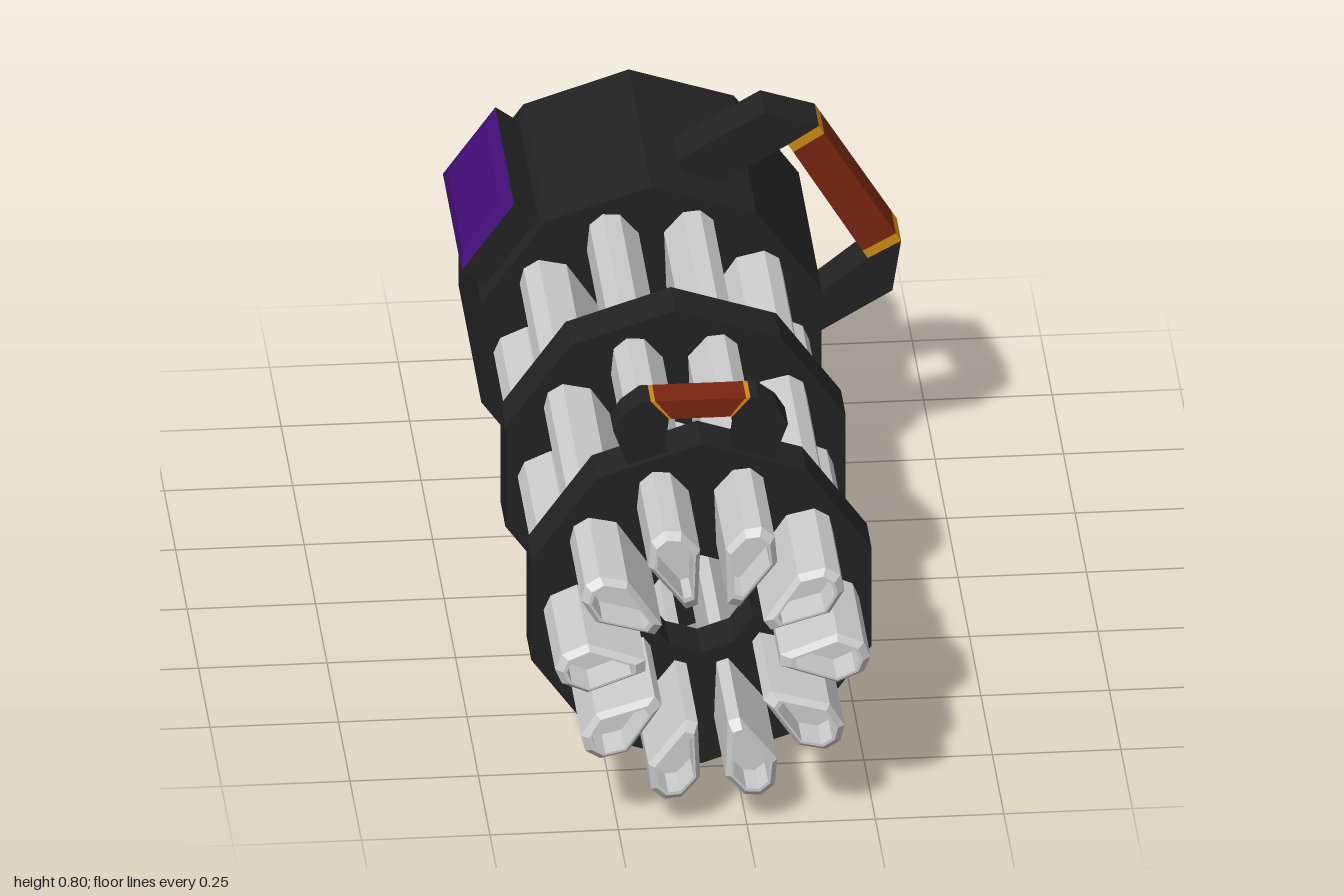
import * as THREE from 'three';

const CX = -0.065, CY = 0.348; // axis of the barrel cluster

// Flat-faced solid through matching counter-clockwise outlines, listed back to front.
function loft(sections) {
  const pos = [];
  const tri = (a, b, c) => pos.push(...a, ...b, ...c);
  const fan = (s, flip) => {
    for (let i = 1; i < s.length - 1; i++) flip ? tri(s[0], s[i + 1], s[i]) : tri(s[0], s[i], s[i + 1]);
  };
  for (let k = 0; k < sections.length - 1; k++) {
    const a = sections[k], b = sections[k + 1];
    for (let i = 0; i < a.length; i++) {
      const j = (i + 1) % a.length;
      tri(a[i], a[j], b[j]);
      tri(a[i], b[j], b[i]);
    }
  }
  fan(sections[0], true);
  fan(sections[sections.length - 1], false);
  const g = new THREE.BufferGeometry();
  g.setAttribute('position', new THREE.Float32BufferAttribute(pos, 3));
  g.computeVertexNormals();
  return g;
}

// Decagon with a corner pointing up
const decagon = (r) => Array.from({ length: 10 }, (_, i) => {
  const a = Math.PI / 2 + i * Math.PI / 5;
  return [r * Math.cos(a), r * Math.sin(a)];
});
const toShape = (pts) => new THREE.Shape(pts.map(([x, y]) => new THREE.Vector2(x, y)));

function plate(shape, z0, z1) {
  const g = new THREE.ExtrudeGeometry(shape, { depth: z1 - z0, bevelEnabled: false });
  return g.translate(0, 0, z0);
}

export function createModel() {
  const mat = (name, color) => {
    const m = new THREE.MeshStandardMaterial({ color });
    m.name = name;
    return m;
  };
  const black = mat('black metal', 0x222222);
  const steel = mat('light steel', 0xcccccc);
  const brown = mat('brown grip', 0x7a2610);
  const gold = mat('gold trim', 0xd08c12);
  const purple = mat('purple panel', 0x420e78);

  const model = new THREE.Group();
  const add = (parent, name, geometry, material) => {
    const m = new THREE.Mesh(geometry, material);
    m.name = name;
    parent.add(m);
    return m;
  };

  const gun = new THREE.Group();
  gun.name = 'barrelCluster';
  gun.position.set(CX, CY, 0);
  model.add(gun);

  // Housing with a domed back
  const ring = (r, z) => decagon(r).map(([x, y]) => [x, y, z]);
  add(gun, 'housing', loft([
    ring(0.005, -1), ring(0.168, -0.97), ring(0.348, -0.85), ring(0.348, -0.355),
  ]), black);

  // Two clamp rings with an open centre
  for (const [name, z0, z1] of [['middleRing', 0.07, 0.17], ['frontRing', 0.635, 0.735]]) {
    const s = toShape(decagon(0.348));
    s.holes.push(new THREE.Path(decagon(0.106).map(([x, y]) => new THREE.Vector2(x, y))));
    add(gun, name, plate(s, z0, z1), black);
  }

  // Ten teardrop barrels with chamfered, hollow ends
  const profile = [[0.131, -0.012], [0.243, -0.053], [0.294, -0.031], [0.307, 0],
    [0.294, 0.031], [0.243, 0.053], [0.131, 0.012]];
  const section = (k, z) => profile.map(([x, y]) => [0.232 + (x - 0.232) * k, y * k, z]);
  const barrel = loft([section(1, -0.38), section(1, 0.985), section(0.8, 1),
    section(0.71, 1), section(0.71, 0.92)]);
  for (let i = 0; i < 10; i++) {
    add(gun, 'barrel' + (i + 1), barrel, steel).rotation.z = i * Math.PI / 5;
  }

  // Side box with a raised panel, on the upper right facet
  const sideBox = new THREE.Group();
  sideBox.name = 'sideBox';
  sideBox.rotation.z = 144 * Math.PI / 180;
  gun.add(sideBox);
  add(sideBox, 'boxBase', new THREE.BoxGeometry(0.1, 0.174, 0.41).translate(0.338, 0, -0.605), black);
  const rect = (x, hy, hz) => [[x, -hy, -0.605 - hz], [x, hy, -0.605 - hz],
    [x, hy, -0.605 + hz], [x, -hy, -0.605 + hz]];
  add(sideBox, 'boxPanel', loft([rect(0.388, 0.086, 0.204), rect(0.399, 0.062, 0.165)]), purple);

  // Grip split along its length: gold bands at both ends, brown between
  function grip(parent, a0, a1, b0, b1, t, z0, z1) {
    const mix = (p, q, k) => [p[0] + (q[0] - p[0]) * k, p[1] + (q[1] - p[1]) * k];
    const part = (k0, k1) => plate(toShape(
      [mix(a0, b0, k0), mix(a1, b1, k0), mix(a1, b1, k1), mix(a0, b0, k1)]), z0, z1);
    add(parent, 'gripBandStart', part(0, t), gold);
    add(parent, 'grip', part(t, 1 - t), brown);
    add(parent, 'gripBandEnd', part(1 - t, 1), gold);
  }

  // Small carry handle on the front ring
  const top = new THREE.Group();
  top.name = 'frontHandle';
  model.add(top);
  const post = [[-0.162, 0.786], [-0.178, 0.786], [-0.215, 0.758], [-0.235, 0.725], [-0.208, 0.651],
    [-0.2, 0.62], [-0.125, 0.65], [-0.132, 0.7], [-0.127, 0.746]];
  add(top, 'handlePostRight', plate(toShape(post), 0.65, 0.72), black);
  add(top, 'handlePostLeft', plate(toShape(post.map(([x, y]) => [2 * CX - x, y])), 0.65, 0.72), black);
  grip(top, [-0.162, 0.786], [-0.127, 0.746], [0.032, 0.786], [-0.003, 0.746], 0.045, 0.65, 0.72);

  // Large side handle on the housing
  const side = new THREE.Group();
  side.name = 'sideHandle';
  model.add(side);
  add(side, 'upperArm', plate(toShape([[-0.005, 0.698], [0.164, 0.795], [0.27, 0.761],
    [0.21, 0.723], [0.085, 0.651], [0.03, 0.62]]), -0.55, -0.455), black);
  add(side, 'lowerArm', plate(toShape([[0.43, 0.503], [0.413, 0.396], [0.266, 0.31],
    [0.2, 0.272], [0.2, 0.35], [0.266, 0.39], [0.365, 0.468]]), -0.55, -0.455), black);
  grip(side, [0.21, 0.723], [0.27, 0.761], [0.365, 0.468], [0.43, 0.503], 0.065, -0.55, -0.455);

  return model;
}
